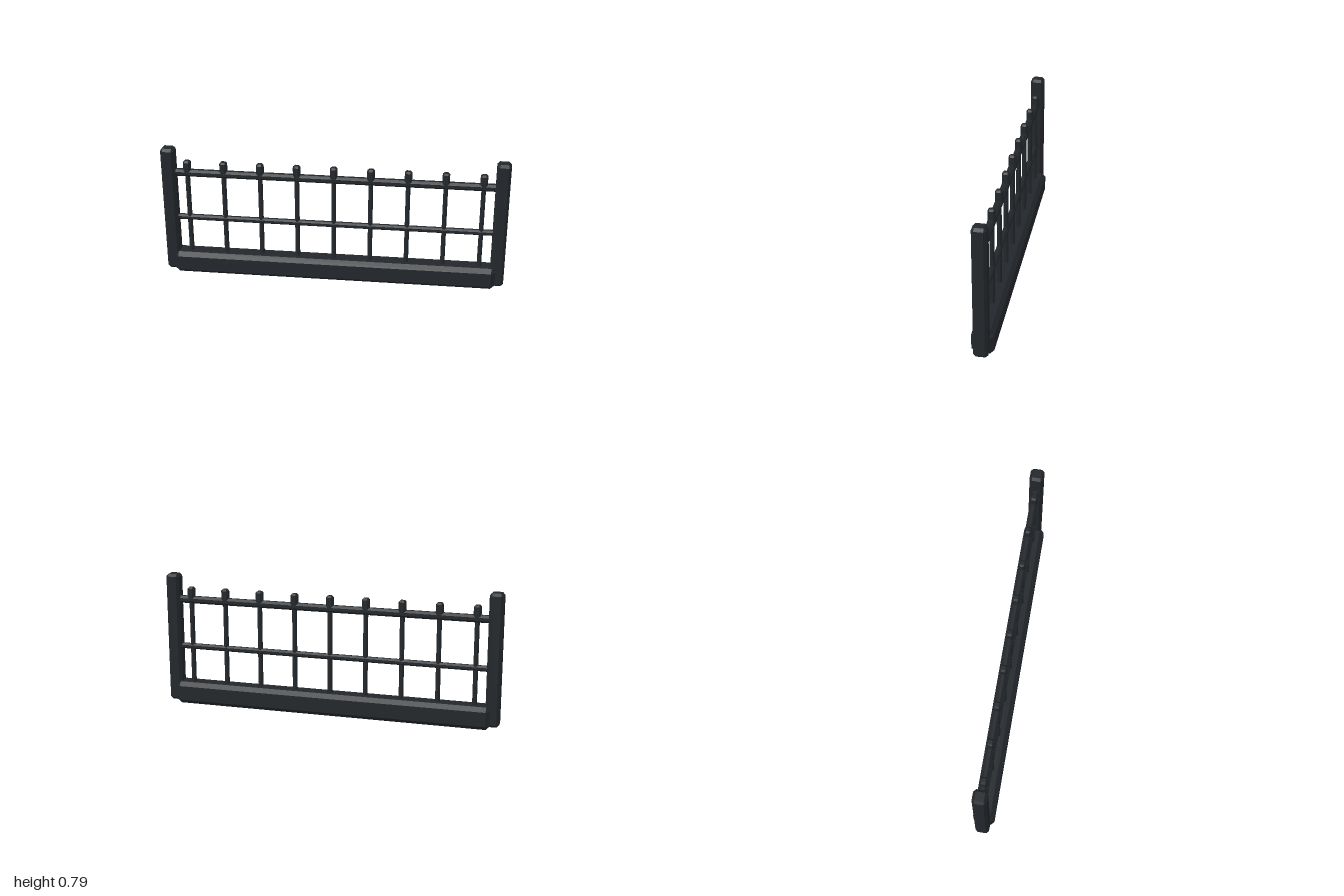
import * as THREE from 'three';
import { ConvexGeometry } from 'three/addons/geometries/ConvexGeometry.js';

const iron = new THREE.MeshStandardMaterial({ color: 0x23272b, flatShading: true });

// Box with all edges and corners cut off by c
function chamferBox(w, h, d, c) {
  const points = [];
  const [x, y, z] = [w / 2, h / 2, d / 2];
  for (const sx of [-1, 1]) for (const sy of [-1, 1]) for (const sz of [-1, 1]) {
    points.push(
      new THREE.Vector3(sx * x, sy * (y - c), sz * (z - c)),
      new THREE.Vector3(sx * (x - c), sy * y, sz * (z - c)),
      new THREE.Vector3(sx * (x - c), sy * (y - c), sz * z));
  }
  return new ConvexGeometry(points);
}

// Eight-sided bar with flat faces to the front and top, 'size' across flats
function bar(size, length) {
  const geometry = new THREE.CylinderGeometry(size / 2 / Math.cos(Math.PI / 8), size / 2 / Math.cos(Math.PI / 8), length, 8);
  return geometry.rotateY(Math.PI / 8);
}

export function createModel() {
  const group = new THREE.Group();
  const add = (name, geometry, x, y) => {
    const mesh = new THREE.Mesh(geometry, iron);
    mesh.name = name;
    mesh.position.set(x, y, 0);
    group.add(mesh);
  };

  // Heavy base beam
  add('base', chamferBox(1.9, 0.134, 0.124, 0.024), 0, 0.067);

  // End posts
  const post = chamferBox(0.08, 0.777, 0.08, 0.015);
  add('leftPost', post, 0.96, 0.4035);
  add('rightPost', post, -0.96, 0.4035);

  // Horizontal rails
  add('topRail', bar(0.042, 1.88).rotateZ(Math.PI / 2), 0, 0.638);
  add('middleRail', bar(0.032, 1.88).rotateZ(Math.PI / 2), 0, 0.351);

  // Upright rods with small finials
  const rod = bar(0.026, 0.58);
  const finial = chamferBox(0.042, 0.085, 0.042, 0.01);
  for (let i = -4; i <= 4; i++) {
    const x = i * 0.2133;
    add('rod', rod, x, 0.39);
    add('finial', finial, x, 0.6725);
  }
  return group;
}
